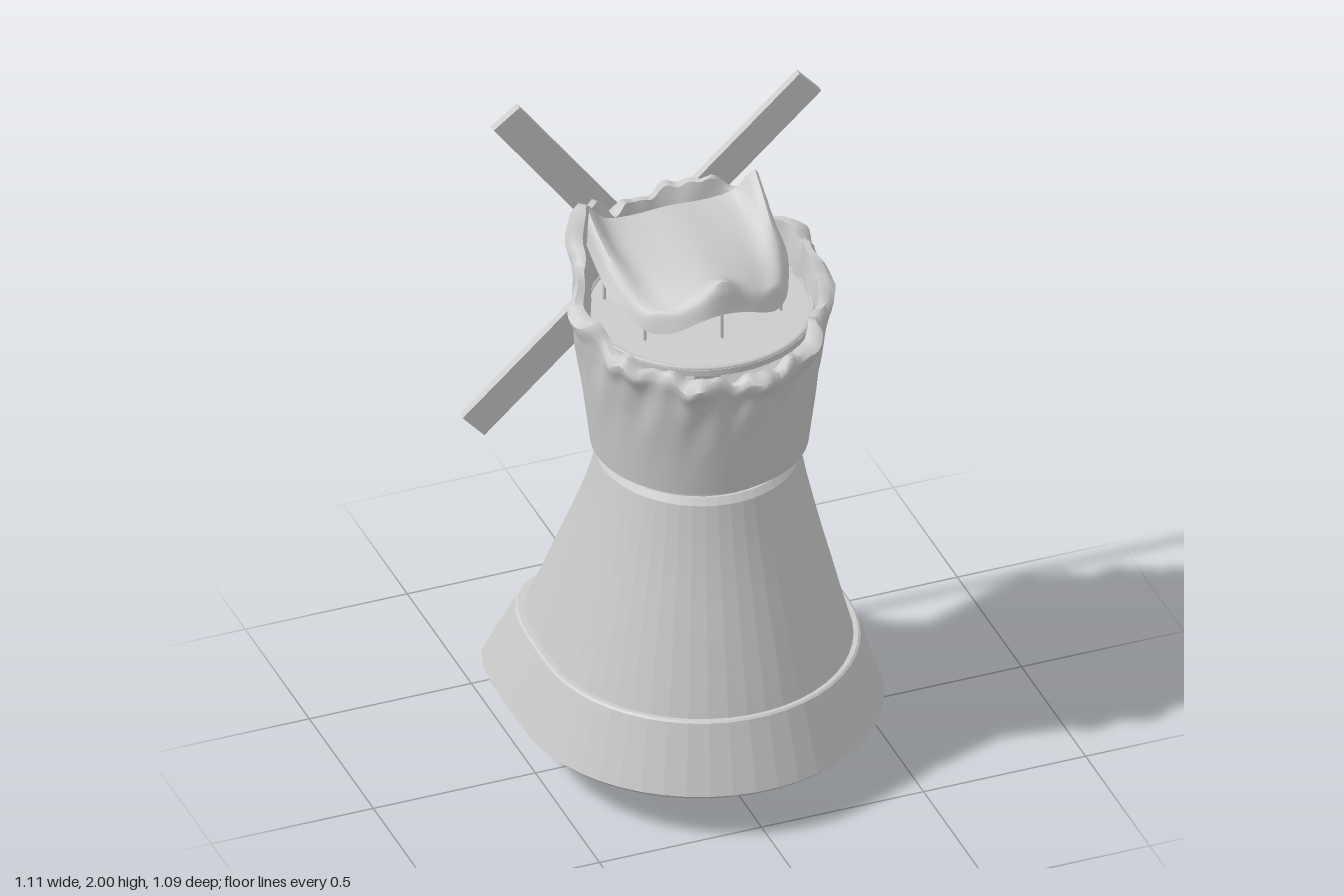
import * as THREE from 'three';
import { toCreasedNormals } from 'three/addons/utils/BufferGeometryUtils.js';

const material = new THREE.MeshStandardMaterial({ color: 0xcccccc, side: THREE.DoubleSide });
const CZ = 0.015; // the upper storey sits slightly forward

function add(parent, name, geometry, x = 0, y = 0, z = 0) {
  const mesh = new THREE.Mesh(geometry, material);
  mesh.name = name;
  mesh.position.set(x, y, z);
  parent.add(mesh);
  return mesh;
}

// Surface from a rule f(i, j); either direction may close on itself
function surface(nu, nv, f, loopU = false, loopV = false) {
  const pos = [], idx = [];
  for (let i = 0; i < nu; i++) for (let j = 0; j < nv; j++) pos.push(...f(i, j));
  for (let i = 0; i < (loopU ? nu : nu - 1); i++) {
    for (let j = 0; j < (loopV ? nv : nv - 1); j++) {
      const i2 = (i + 1) % nu, j2 = (j + 1) % nv;
      const a = i * nv + j, b = i2 * nv + j, c = i2 * nv + j2, d = i * nv + j2;
      idx.push(a, b, c, a, c, d);
    }
  }
  const g = new THREE.BufferGeometry();
  g.setAttribute('position', new THREE.Float32BufferAttribute(pos, 3));
  g.setIndex(idx);
  g.computeVertexNormals();
  return g;
}

// Hollow wall: round in front, squarer at the back, with a gap at the rear for the door bay
// rows: [y, half width, front depth, back depth, back squareness]
function wall(rows, thickness) {
  const N = 50, R = rows.length;
  const g = surface(N, R * 2, (i, j) => {
    const inner = j >= R;
    const [y, rx, zf, zb, n] = rows[inner ? 2 * R - 1 - j : j];
    const th = inner && i > 0 && i < N - 1 ? thickness : 0; // ends close the wall
    const gap = 0.125 - 0.047 * (y - 0.15);
    const amax = Math.PI - Math.atan(gap / (zb - th));
    const t = (Math.min(Math.max(i, 1), N - 2) - 1) / (N - 3);
    const a = (t * 2 - 1) * amax, s = Math.sin(a), c = Math.cos(a);
    const e = c > 0 ? 2 : n, depth = c > 0 ? zf : zb;
    const r = Math.pow(Math.pow(Math.abs(s) / (rx - th), e) + Math.pow(Math.abs(c) / (depth - th), e), -1 / e);
    return [s * r, y, c * r];
  }, false, true);
  return toCreasedNormals(g, 0.1);
}

// Tapered outline with an optional chamfered head
function outline(wb, wt, s0, s1, ch = 0) {
  const pts = [[-wb, s0], [wb, s0], [wt, s1 - ch], [wt - ch * 0.6, s1], [-wt + ch * 0.6, s1], [-wt, s1 - ch]];
  return pts.map(([x, y]) => new THREE.Vector2(x, y));
}

function plate(outer, holes, depth) {
  const shape = new THREE.Shape(outer);
  for (const h of holes) shape.holes.push(new THREE.Path(h));
  return new THREE.ExtrudeGeometry(shape, { depth, bevelEnabled: false });
}

// Broken rim height by angle, measured from the front toward +x
const RIM = [[0, 1.455], [30, 1.47], [60, 1.53], [90, 1.61], [112, 1.62], [135, 1.67], [160, 1.71], [180, 1.67],
  [203, 1.66], [220, 1.74], [232, 1.78], [245, 1.67], [270, 1.56], [300, 1.5], [330, 1.475], [360, 1.455]];
function rimHeight(a) {
  const deg = THREE.MathUtils.radToDeg(a);
  let k = 0;
  while (k < RIM.length - 2 && RIM[k + 1][0] < deg) k++;
  const t = THREE.MathUtils.smoothstep(deg, RIM[k][0], RIM[k + 1][0]);
  return RIM[k][1] + (RIM[k + 1][1] - RIM[k][1]) * t + 0.01 * Math.sin(a * 17) + 0.006 * Math.sin(a * 31 + 1);
}

// Upper storey with lumpy, melted walls and a rolled rim
function cupGeometry() {
  const N = 160, OUT = 26, INN = 8;
  const g = surface(N, OUT + INN, (i, j) => {
    const a = (i / N) * Math.PI * 2, H = rimHeight(a);
    const inner = j >= OUT;
    const h = inner ? 1 - (j - OUT) / (INN - 1) : j / (OUT - 1);
    const y = 1.055 + (H - 1.055) * h;
    const flare = 0.315 + 0.05 * Math.min(1, (y - 1.055) / 0.4);
    const lumps = Math.sin(a * 9 + 3 * Math.sin(y * 7)) * 0.5 + Math.sin(a * 16 + y * 13 + 1) * 0.3 + Math.sin(a * 23 - y * 19) * 0.3;
    const roll = Math.exp(-Math.pow((H - 0.025 - y) / 0.035, 2)) * 0.013 * (1 + Math.sin(a * 11));
    const tip = !inner && j === OUT - 1 ? -0.012 : 0;
    const wallIn = inner ? -0.045 + (j === OUT ? 0.014 : 0) : 0;
    const r = flare + lumps * 0.011 * Math.min(1, h * 1.3) * h + roll * (inner ? 0.3 : 1) + tip + wallIn;
    return [Math.sin(a) * r, y, Math.cos(a) * r + CZ];
  }, true, true);
  return toCreasedNormals(g, 0.9);
}

// Sagging roof sheet: half cross-sections from back to front, each point [x, y, z]
function roofGeometry() {
  const half = [
    [[0, 1.69, -0.23], [0.12, 1.685, -0.23], [0.2, 1.7, -0.225], [0.26, 1.765, -0.21], [0.28, 1.68, -0.18]],
    [[0, 1.675, -0.13], [0.12, 1.665, -0.13], [0.2, 1.67, -0.13], [0.255, 1.71, -0.12], [0.28, 1.64, -0.1]],
    [[0, 1.66, 0], [0.11, 1.645, 0], [0.18, 1.635, 0], [0.24, 1.65, 0], [0.275, 1.6, 0.01]],
    [[0, 1.655, 0.11], [0.1, 1.63, 0.11], [0.16, 1.605, 0.11], [0.21, 1.59, 0.11], [0.23, 1.545, 0.12]],
    [[0, 1.69, 0.195], [0.07, 1.635, 0.19], [0.13, 1.605, 0.175], [0.18, 1.59, 0.15], [0.215, 1.54, 0.14]],
    [[0, 1.59, 0.215], [0.07, 1.58, 0.213], [0.13, 1.555, 0.2], [0.17, 1.54, 0.18], [0.2, 1.535, 0.155]],
  ];
  const curves = Array.from({ length: 9 }, (_, k) => new THREE.CatmullRomCurve3(half.map((row) => {
    const [x, y, z] = row[Math.abs(k - 4)];
    return new THREE.Vector3(k < 4 ? -x : x, y, z);
  })));
  const g = surface(21, 33, (i, j) => {
    const across = new THREE.CatmullRomCurve3(curves.map((c) => c.getPoint(i / 20)));
    return across.getPoint(j / 32).toArray();
  });
  return toCreasedNormals(g, 0.7);
}

export function createModel() {
  const model = new THREE.Group();
  model.name = 'ruinedWindmill';

  // Lower tower
  add(model, 'towerWall', wall([
    [0.16, 0.5, 0.51, 0.51, 4.6], [0.37, 0.445, 0.465, 0.455, 3.7], [0.48, 0.415, 0.435, 0.423, 3.3],
    [0.6, 0.385, 0.405, 0.39, 2.9], [0.7, 0.359, 0.377, 0.362, 2.6], [0.8, 0.335, 0.351, 0.335, 2.3],
    [0.9, 0.312, 0.328, 0.308, 2.1], [1.0, 0.293, 0.31, 0.285, 2], [1.02, 0.28, 0.295, 0.272, 2],
  ], 0.04));
  add(model, 'baseSkirt', wall([
    [0.14, 0.52, 0.53, 0.53, 5], [0.155, 0.535, 0.545, 0.545, 5], [0.365, 0.467, 0.482, 0.48, 3.8], [0.37, 0.46, 0.476, 0.474, 3.8],
  ], 0.035));
  add(model, 'collar', new THREE.CylinderGeometry(0.272, 0.272, 0.05, 40), 0, 1.03, CZ);
  add(model, 'collarRing', new THREE.CylinderGeometry(0.262, 0.28, 0.02, 40), 0, 1.02, CZ);
  add(model, 'centrePost', new THREE.BoxGeometry(0.08, 1.5, 0.08), 0, 0.75, 0.04);

  // Sloping rear bay with a door and two windows
  const bay = new THREE.Group();
  bay.name = 'doorBay';
  bay.position.set(0, 0.15, -0.49);
  bay.rotation.x = 0.264;
  model.add(bay);
  const openings = [
    ['door', 0.062, 0.05, 0.07, 0.365, 0.035], ['lowerWindow', 0.036, 0.033, 0.54, 0.625, 0], ['upperWindow', 0.032, 0.025, 0.68, 0.81, 0],
  ];
  add(bay, 'bayPanel', plate(outline(0.13, 0.09, 0, 0.875), openings.map((o) => outline(...o.slice(1))), 0.025));
  for (const [name, wb, wt, s0, s1, ch] of openings) {
    const b = name === 'door' ? 0.02 : 0.01;
    add(bay, name + 'Frame', plate(outline(wb + b, wt + b, s0 - b, s1 + b, ch), [outline(wb, wt, s0, s1, ch)], 0.025), 0, 0, -0.02);
  }
  add(model, 'doorStep', new THREE.BoxGeometry(0.23, 0.06, 0.03), 0, 0.18, -0.51);

  // Upper storey, floor and roof
  add(model, 'brokenUpperWall', cupGeometry());
  add(model, 'upperFloor', new THREE.CylinderGeometry(0.335, 0.335, 0.02, 48), 0, 1.485, CZ);
  add(model, 'floorRim', new THREE.TorusGeometry(0.325, 0.008, 6, 48).rotateX(Math.PI / 2), 0, 1.495, CZ);
  add(model, 'saggingRoof', roofGeometry());
  for (const [x, z, top] of [[-0.21, 0.12, 1.57], [0.21, 0.12, 1.57], [-0.24, -0.12, 1.69], [0.24, -0.12, 1.69], [0, 0.19, 1.63]]) {
    add(model, 'roofPin', new THREE.CylinderGeometry(0.005, 0.005, top - 1.49, 6), x, (top + 1.49) / 2, z);
  }

  // Bracket on the rear wall that carries the axle
  const side = [[0.27, 1.08], [0.305, 1.08], [0.4, 1.37], [0.405, 1.44], [0.37, 1.52], [0.33, 1.52]].map(([z, y]) => new THREE.Vector2(z, y));
  for (const x of [-0.075, 0.055]) {
    const cheek = add(model, 'bracketCheek', plate(side, [], 0.02).rotateY(Math.PI / 2), x);
    cheek.name = x < 0 ? 'bracketCheekRight' : 'bracketCheekLeft';
  }
  const face = add(model, 'bracketFrame', plate(outline(0.075, 0.075, 0, 0.33), [outline(0.05, 0.05, 0.03, 0.25)], 0.02), 0, 1.1, -0.312);
  face.rotation.x = -0.31;
  add(model, 'axle', new THREE.CylinderGeometry(0.022, 0.022, 0.12, 12).rotateX(Math.PI / 2), 0, 1.405, -0.385);

  // Crossed sails
  for (const [angle, y] of [[-53.3, 1.41], [41.9, 1.402]]) {
    const sail = add(model, 'sailBar', new THREE.BoxGeometry(1.397, 0.1, 0.024), -0.003, y, -0.437);
    sail.rotation.z = THREE.MathUtils.degToRad(angle);
  }
  return model;
}
